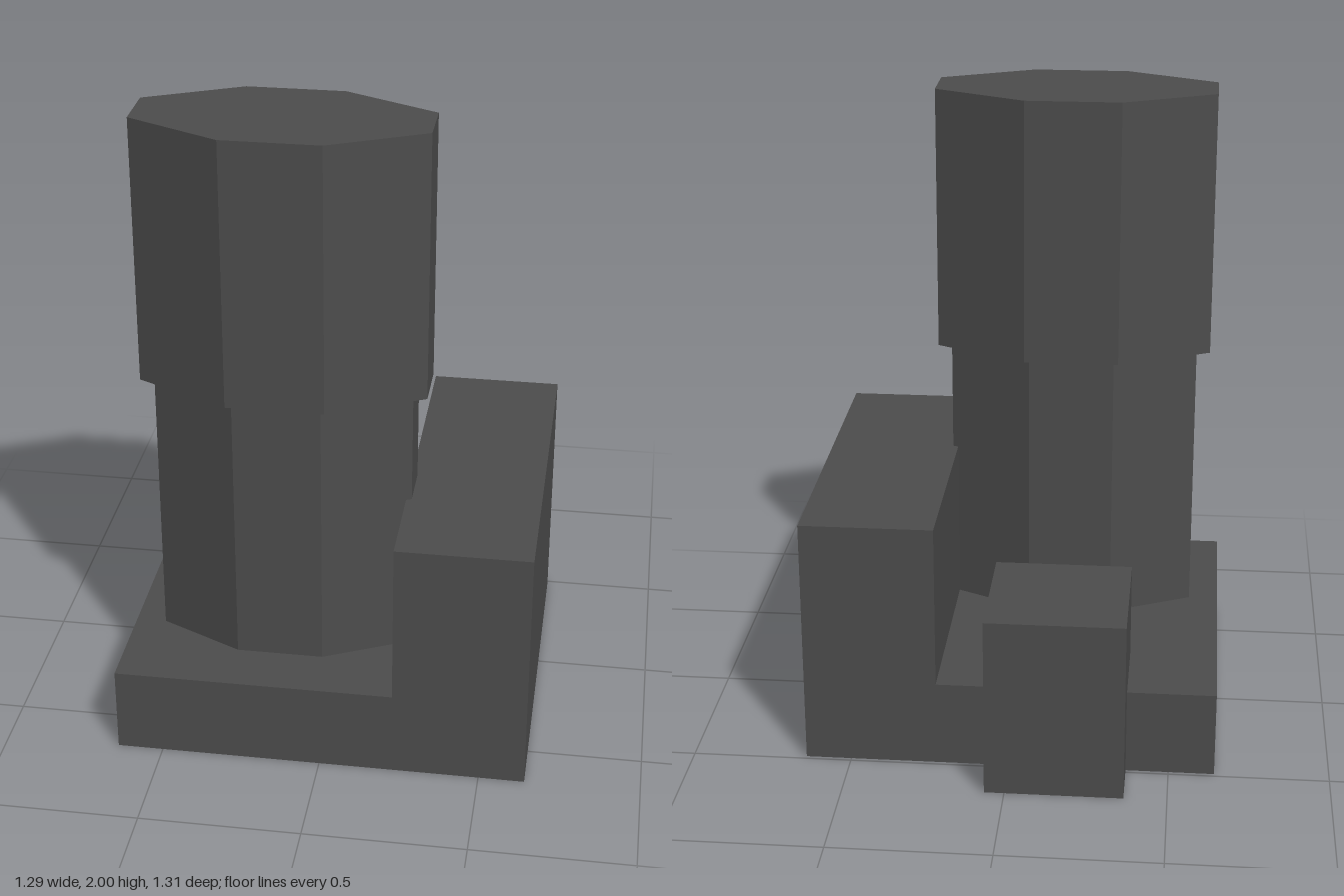
import * as THREE from 'three';

// Open-bottomed shells, so the single material is double sided
const concrete = new THREE.MeshStandardMaterial({ color: 0x4d4d4d, flatShading: true, side: THREE.DoubleSide });
concrete.name = 'darkGrey';

function add(group, name, geometry) {
  const mesh = new THREE.Mesh(geometry, concrete);
  mesh.name = name;
  group.add(mesh);
  return mesh;
}

const points2 = (pts) => pts.map(([x, y]) => new THREE.Vector2(x, y));

const rect = (x0, x1, z0, z1) => [[x0, z1], [x1, z1], [x1, z0], [x0, z0]];

// Flat horizontal sheet from an [x, z] outline, facing up, with an optional hole
function sheet(outline, y, hole) {
  const flip = (pts) => points2(pts.map(([x, z]) => [x, -z]));
  const shape = new THREE.Shape(flip(outline));
  if (hole) shape.holes.push(new THREE.Path(flip(hole)));
  return new THREE.ShapeGeometry(shape).rotateX(-Math.PI / 2).translate(0, y, 0);
}

// Vertical walls around a closed [x, z] outline, without caps
function walls(outline, y0, y1) {
  const pos = [];
  outline.forEach(([ax, az], i) => {
    const [bx, bz] = outline[(i + 1) % outline.length];
    pos.push(ax, y0, az, bx, y0, bz, bx, y1, bz, ax, y0, az, bx, y1, bz, ax, y1, az);
  });
  const geometry = new THREE.BufferGeometry();
  geometry.setAttribute('position', new THREE.Float32BufferAttribute(pos, 3));
  geometry.computeVertexNormals();
  return geometry;
}

// Long octagon centred on the tower axis
function octagon(hx, hz, fx, fz) {
  const cx = -0.152, cz = 0.27;
  return [[-fx, hz], [fx, hz], [hx, fz], [hx, -fz], [fx, -hz], [-fx, -hz], [-hx, -fz], [-hx, fz]]
    .map(([x, z]) => [cx + x, cz + z]);
}

export function createModel() {
  const model = new THREE.Group();
  const X = 0.643, BACK = -0.487, FRONT = 0.655, STEP = 0.228, LOW = 0.275, HIGH = 0.8;

  // Low podium and tall wing share an L-shaped front and back
  const base = new THREE.Group();
  base.name = 'base';
  const profile = new THREE.Shape(points2([[-X, 0], [X, 0], [X, HIGH], [STEP, HIGH], [STEP, LOW], [-X, LOW]]));
  add(base, 'frontWall', new THREE.ShapeGeometry(profile).translate(0, 0, FRONT));
  // Mirrored profile turned to face backwards
  const mirrored = new THREE.Shape(points2([[-X, 0], [X, 0], [X, LOW], [-STEP, LOW], [-STEP, HIGH], [-X, HIGH]]));
  add(base, 'backWall', new THREE.ShapeGeometry(mirrored).rotateY(Math.PI).translate(0, 0, BACK));
  const depth = FRONT - BACK, midZ = (FRONT + BACK) / 2;
  for (const [name, x, y0, y1, side] of [
    ['podiumSide', -X, 0, LOW, -1], ['wingInnerSide', STEP, LOW, HIGH, -1], ['wingOuterSide', X, 0, HIGH, 1],
  ]) {
    add(base, name, new THREE.PlaneGeometry(depth, y1 - y0).rotateY(side * Math.PI / 2).translate(x, (y0 + y1) / 2, midZ));
  }
  add(base, 'podiumRoof', sheet(rect(-X, STEP, BACK, FRONT), LOW, rect(-0.235, -0.07, 0.12, 0.42)));
  add(base, 'wingRoof', sheet(rect(STEP, X, BACK, FRONT), HIGH));
  model.add(base);

  // Tower: narrower shaft under a wider upper block
  const tower = new THREE.Group();
  tower.name = 'tower';
  const shaft = octagon(0.397, 0.202, 0.135, 0.075);
  const upper = octagon(0.44, 0.225, 0.15, 0.083);
  add(tower, 'shaft', walls(shaft, LOW, 1.155));
  add(tower, 'upperBlock', walls(upper, 1.155, 2));
  add(tower, 'upperRoof', sheet(upper, 2));
  add(tower, 'upperUnderside', sheet([...upper], 1.155));
  model.add(tower);

  // Small annex straddling the back wall
  const annex = new THREE.Group();
  annex.name = 'backAnnex';
  const plan = rect(-0.367, 0.062, -0.655, -0.228);
  add(annex, 'annexWalls', walls(plan, 0, 0.58));
  add(annex, 'annexRoof', sheet(plan, 0.58));
  model.add(annex);

  return model;
}
